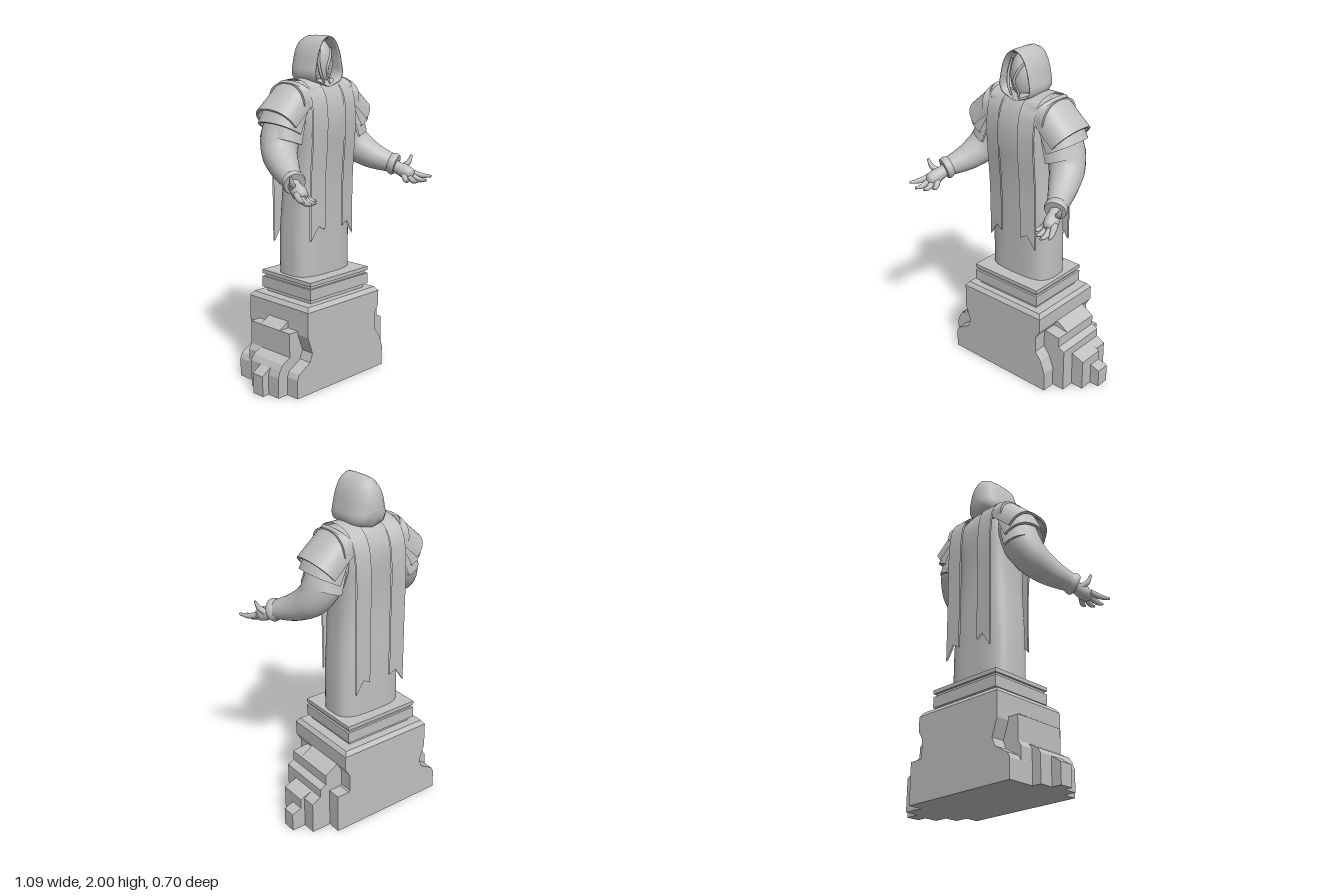
import * as THREE from 'three';

const stone = new THREE.MeshStandardMaterial({ color: 0xc0c0c0, side: THREE.DoubleSide });
stone.name = 'grey stone';
const V = (x, y, z) => new THREE.Vector3(x, y, z);

function add(parent, name, geometry, x = 0, y = 0, z = 0) {
  const mesh = new THREE.Mesh(geometry, stone);
  mesh.name = name;
  mesh.position.set(x, y, z);
  parent.add(mesh);
  return mesh;
}

// Skin a list of equal-length rows of points; optional closed rings and end caps
function loft(rows, closed = true, caps = true) {
  const n = rows[0].length, pos = [], idx = [];
  rows.forEach(r => r.forEach(p => pos.push(p.x, p.y, p.z)));
  const m = closed ? n : n - 1;
  for (let i = 0; i < rows.length - 1; i++)
    for (let j = 0; j < m; j++) {
      const a = i * n + j, b = i * n + (j + 1) % n;
      idx.push(a, b, a + n, b, b + n, a + n);
    }
  if (caps) [rows[0], rows[rows.length - 1]].forEach((r, e) => {
    const c = r.reduce((s, p) => s.add(p), V(0, 0, 0)).divideScalar(n), k = pos.length / 3;
    [c, ...r].forEach(p => pos.push(p.x, p.y, p.z));
    for (let j = 0; j < n; j++) {
      const a = k + 1 + j, b = k + 1 + (j + 1) % n;
      e ? idx.push(k, a, b) : idx.push(k, b, a);
    }
  });
  const g = new THREE.BufferGeometry();
  g.setAttribute('position', new THREE.Float32BufferAttribute(pos, 3));
  g.setIndex(idx);
  g.computeVertexNormals();
  return g;
}

// Tapered round limb through [x, y, z, radius] points
function limb(pts, steps = 16, sides = 16) {
  const curve = new THREE.CatmullRomCurve3(pts.map(p => V(p[0], p[1], p[2])));
  const frames = curve.computeFrenetFrames(steps), rows = [];
  for (let i = 0; i <= steps; i++) {
    const f = (i / steps) * (pts.length - 1), k = Math.min(Math.floor(f), pts.length - 2);
    const r = THREE.MathUtils.lerp(pts[k][3], pts[k + 1][3], f - k);
    const c = curve.getPoint(i / steps);
    rows.push(Array.from({ length: sides }, (_, j) => {
      const a = (j / sides) * Math.PI * 2;
      return c.clone().addScaledVector(frames.normals[i], r * Math.cos(a))
        .addScaledVector(frames.binormals[i], r * Math.sin(a));
    }));
  }
  return loft(rows);
}

function slab(points, z0, z1) {
  const shape = new THREE.Shape(points.map(p => new THREE.Vector2(p[0], p[1])));
  return new THREE.ExtrudeGeometry(shape, { depth: z1 - z0, bevelEnabled: false }).translate(0, 0, z0);
}

// Arched shoulder plate running from ridge point a to b, drop deep, half wide in z
function archPlate(a, b, drop, halfA, halfB) {
  const d = new THREE.Vector2(b[0] - a[0], b[1] - a[1]).normalize();
  const nx = -d.y, ny = d.x, t = 0.014;
  const arc = (p, half, inset) => Array.from({ length: 25 }, (_, j) => {
    const q = -Math.PI / 2 + (j / 24) * Math.PI, c = Math.cos(q), s = Math.sin(q);
    const h = drop * Math.pow(Math.max(c, 0), 0.8) - drop - inset * c;
    return V(p[0] + nx * h, p[1] + ny * h, -0.105 + (half - inset) * Math.sign(s) * Math.pow(Math.abs(s), 0.85));
  });
  const g = loft([arc(a, halfA, t), arc(a, halfA, 0), arc(b, halfB, 0), arc(b, halfB, t), arc(a, halfA, t)], false, false);
  const flat = g.toNonIndexed();
  flat.computeVertexNormals();
  return flat;
}

function buildPedestal(root) {
  const ped = new THREE.Group();
  ped.name = 'pedestal';
  root.add(ped);
  // Main block with broken side edges
  add(ped, 'pedestalBlock', slab([
    [-0.40, 0], [0.32, 0], [0.32, 0.12], [0.29, 0.2], [0.25, 0.25], [0.25, 0.35], [0.28, 0.4], [0.28, 0.485],
    [-0.313, 0.485], [-0.313, 0.4], [-0.315, 0.34], [-0.28, 0.24], [-0.3, 0.19], [-0.385, 0.14], [-0.4, 0.11]
  ], -0.355, 0.135));
  const rect = (y, i) => [V(-0.313 + i, y, -0.355 + i), V(0.28 - i, y, -0.355 + i), V(0.28 - i, y, 0.135 - i), V(-0.313 + i, y, 0.135 - i)];
  const bevel = loft([rect(0.485, 0), rect(0.51, 0.018)]).toNonIndexed();
  bevel.computeVertexNormals();
  add(ped, 'pedestalBevel', bevel);
  // Stepped rubble columns on both sides, back to front
  const right = [[0.2, 0.4], [0.28, 0.4], [0.36, 0.35], [0.36, 0.29], [0.4, 0.27], [0.4, 0.22], [0.48, 0.19], [0.48, 0.13], [0.54, 0.11]];
  const left = [[0.2, 0.4], [0.31, 0.4], [0.38, 0.36], [0.38, 0.22], [0.435, 0.19], [0.455, 0.16], [0.515, 0.12]];
  const column = (profile, reach, top, sx) => {
    const pts = [[0.2, 0]];
    for (const [x, y] of profile) pts.push([Math.min(x, reach), Math.min(y, top)]);
    pts.push([reach, 0]);
    const clean = pts.filter((p, i) => !i || p[0] !== pts[i - 1][0] || p[1] !== pts[i - 1][1]);
    return clean.map(p => [p[0] * sx, p[1]]);
  };
  const reachR = [0.335, 0.455, 0.54, 0.48, 0.4], topR = [0.24, 0.4, 0.4, 0.4, 0.36];
  const reachL = [0.33, 0.4, 0.455, 0.515, 0.47], topL = [0.16, 0.36, 0.4, 0.4, 0.36];
  for (let i = 0; i < 5; i++) {
    const z0 = -0.355 + i * 0.0817;
    add(ped, 'leftRubble' + i, slab(column(right, reachR[i], topR[i], 1), z0, z0 + 0.0817));
    add(ped, 'rightRubble' + i, slab(column(left, reachL[i], topL[i], -1), z0, z0 + 0.0817));
  }
  // Stacked base tiers: bottom, height, width, depth
  [[0.51, 0.025, 0.44, 0.365], [0.535, 0.065, 0.48, 0.405], [0.6, 0.017, 0.455, 0.38], [0.617, 0.023, 0.48, 0.405]].forEach(([y, h, w, d], i) =>
    add(ped, 'baseTier' + i, new THREE.BoxGeometry(w, h, d), -0.017, y + h / 2, -0.105));
}

function buildRobe(fig) {
  // Height, half width, front z, back z
  const sections = [[0.64, 0.215, 0.02, -0.245], [0.9, 0.213, 0.022, -0.245], [1.1, 0.195, 0.028, -0.24], [1.25, 0.184, 0.033, -0.235],
    [1.4, 0.18, 0.05, -0.24], [1.5, 0.185, 0.062, -0.25], [1.6, 0.19, 0.055, -0.255], [1.67, 0.185, 0.035, -0.24], [1.72, 0.14, 0.01, -0.21], [1.76, 0.085, -0.02, -0.18]];
  const pw = (v, e) => Math.sign(v) * Math.pow(Math.abs(v), e);
  add(fig, 'robe', loft(sections.map(([y, w, f, b]) => Array.from({ length: 48 }, (_, j) => {
    const a = (j / 48) * Math.PI * 2;
    return V(w * pw(Math.cos(a), 0.6), y, (f + b) / 2 + (f - b) / 2 * pw(Math.sin(a), 0.65));
  }))));
  // Long bands hanging over the shoulders with forked ends
  const path = [[0.87, 0.047], [1.2, 0.052], [1.45, 0.07], [1.58, 0.07], [1.68, 0.05], [1.74, 0], [1.765, -0.1], [1.74, -0.2], [1.68, -0.255], [1.55, -0.282], [1.2, -0.284], [0.82, -0.284]];
  const curve = new THREE.CatmullRomCurve3(path.map(p => V(0, p[0], p[1])), false, 'centripetal');
  for (const s of [-1, 1]) {
    const rows = curve.getPoints(48).map((p, i) => {
      const end = i === 0 || i === 48;
      return [0.07, 0.115, 0.17].map((x, j) =>
        V(s * x, p.y + (end ? [0.04, 0.065, -0.02][j] : 0), p.z - (i < 20 ? (x - 0.07) * 0.15 : 0)));
    });
    add(fig, s > 0 ? 'leftBand' : 'rightBand', loft(rows, false, false));
    const back = rows.map(r => r.map(p => V(p.x, p.y - (p.y > 1.72 ? 0.012 : 0), p.z + (p.z > -0.1 ? -0.01 : 0.01))));
    add(fig, 'bandLining', loft(back, false, false));
  }
}

function buildHood(fig) {
  const half = [[0, 2.0], [0.05, 1.978], [0.088, 1.92], [0.11, 1.84], [0.118, 1.79], [0.102, 1.75], [0.05, 1.728]];
  const outline = new THREE.CatmullRomCurve3([...half.map(p => V(p[0], p[1], 0)), V(0, 1.715, 0),
    ...half.slice(1).reverse().map(p => V(-p[0], p[1], 0))], true).getPoints(48).slice(0, 48);
  const ring = (z, s, sy = s, cy = 1.83) => outline.map(p => V(p.x * s, cy + (p.y - cy) * sy, z));
  // Hood wraps from the recessed lining over the rim to the rounded back
  add(fig, 'hood', loft([ring(-0.06, 0.74, 0.86), ring(0, 0.82, 0.9), ring(0.012, 0.88, 0.95), ring(0.01, 0.95, 0.98), ring(-0.03, 1), ring(-0.1, 1.01, 1),
    ring(-0.15, 0.96, 0.98), ring(-0.19, 0.82, 0.87), ring(-0.214, 0.6, 0.65), ring(-0.225, 0.3, 0.32), ring(-0.228, 0.02)]));
  // Shrouded face with hanging folds
  const face = add(fig, 'face', new THREE.SphereGeometry(1, 32, 24), 0, 1.845, -0.06);
  face.scale.set(0.072, 0.13, 0.066);
  add(fig, 'faceFold', limb([[0.045, 1.93, -0.02, 0.006], [0.015, 1.88, 0.004, 0.008], [-0.01, 1.82, 0.006, 0.008], [0.005, 1.77, -0.008, 0.007], [0.02, 1.73, 0, 0.004]], 20, 8));
  add(fig, 'sideFold', limb([[-0.045, 1.94, -0.02, 0.006], [-0.062, 1.86, -0.01, 0.008], [-0.055, 1.79, 0, 0.008], [-0.03, 1.74, 0.003, 0.005]], 20, 8));
}

function buildArm(fig, side) {
  const arm = new THREE.Group();
  arm.name = side > 0 ? 'leftArm' : 'rightArm';
  arm.scale.x = side;
  fig.add(arm);
  add(arm, 'sleeve', limb([[0.15, 1.62, -0.105, 0.1], [0.22, 1.54, -0.108, 0.115], [0.268, 1.44, -0.108, 0.11], [0.305, 1.36, -0.07, 0.1], [0.35, 1.295, 0.02, 0.08], [0.405, 1.25, 0.135, 0.055]], 28, 24));
  add(arm, 'cuff', limb([[0.4, 1.253, 0.122, 0.056], [0.406, 1.249, 0.138, 0.064], [0.411, 1.245, 0.15, 0.066], [0.416, 1.241, 0.162, 0.06]], 6, 24));
  // Overlapping shoulder plates, from neck to arm
  add(arm, 'neckPlate', archPlate([0.145, 1.75], [0.225, 1.745], 0.12, 0.135, 0.145));
  add(arm, 'upperPlate', archPlate([0.205, 1.758], [0.37, 1.612], 0.13, 0.138, 0.145));
  add(arm, 'middlePlate', archPlate([0.31, 1.655], [0.37, 1.54], 0.14, 0.132, 0.142));
  add(arm, 'lowerPlate', archPlate([0.32, 1.58], [0.362, 1.46], 0.135, 0.122, 0.136));
  // Open hand, palm up
  add(arm, 'palm', limb([[0.405, 1.25, 0.13, 0.036], [0.42, 1.225, 0.17, 0.036], [0.435, 1.205, 0.215, 0.042], [0.445, 1.19, 0.25, 0.034], [0.45, 1.185, 0.265, 0.015]], 16, 16));
  const fingers = {
    indexFinger: [[0.47, 1.2, 0.23], [0.5, 1.182, 0.29], [0.522, 1.182, 0.34]],
    middleFinger: [[0.455, 1.187, 0.24], [0.465, 1.162, 0.3], [0.468, 1.165, 0.345]],
    ringFinger: [[0.43, 1.183, 0.24], [0.425, 1.158, 0.285], [0.422, 1.162, 0.325]],
    littleFinger: [[0.41, 1.187, 0.225], [0.392, 1.163, 0.255], [0.383, 1.165, 0.287]],
    thumb: [[0.445, 1.225, 0.18], [0.475, 1.255, 0.205], [0.495, 1.298, 0.212]]
  };
  for (const [name, p] of Object.entries(fingers))
    add(arm, name, limb([[...p[0], 0.019], [...p[1], 0.015], [...p[2], 0.007]], 10, 10));
}

export function createModel() {
  const root = new THREE.Group();
  root.name = 'hoodedStatue';
  buildPedestal(root);
  const figure = new THREE.Group();
  figure.name = 'figure';
  figure.position.x = -0.017;
  root.add(figure);
  buildRobe(figure);
  buildHood(figure);
  buildArm(figure, 1);
  buildArm(figure, -1);
  return root;
}
